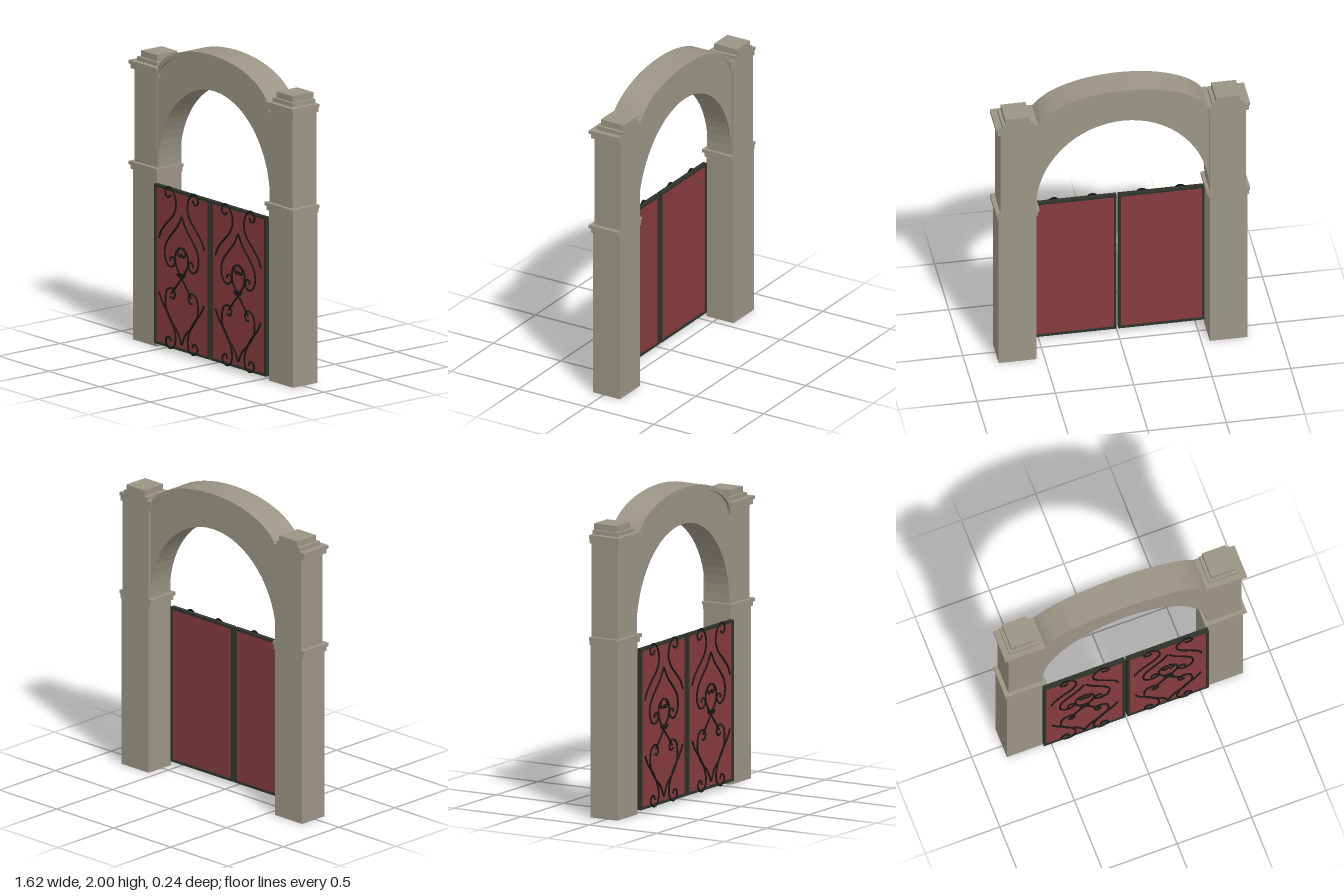
import * as THREE from 'three';

const mat = (name, color) => {
  const m = new THREE.MeshStandardMaterial({ color });
  m.name = name;
  return m;
};

export function createModel() {
  const stone = mat('stone', 0x9a9585);
  const red = mat('red panel', 0x873b3d);
  const frameMat = mat('dark green frame', 0x2e332b);
  const iron = mat('black iron', 0x171814);

  const root = new THREE.Group();
  root.name = 'gateway';

  // Box given by its limits on each axis
  const box = (parent, name, material, x0, x1, y0, y1, z0, z1) => {
    const mesh = new THREE.Mesh(new THREE.BoxGeometry(Math.abs(x1 - x0), y1 - y0, z1 - z0), material);
    mesh.position.set((x0 + x1) / 2, (y0 + y1) / 2, (z0 + z1) / 2);
    mesh.name = name;
    parent.add(mesh);
  };

  // Pillars: stacked blocks, all flush at the back [name, inner x, outer x, y0, y1, front z]
  const back = -0.12;
  const blocks = [
    ['lowerShaft', 0.553, 0.793, 0, 1.105, 0.08],
    ['bandLower', 0.543, 0.802, 1.105, 1.135, 0.09],
    ['bandUpper', 0.533, 0.81, 1.135, 1.157, 0.1],
    ['upperShaft', 0.553, 0.782, 1.157, 1.757, 0.075],
    ['capLower', 0.543, 0.802, 1.757, 1.788, 0.09],
    ['capUpper', 0.533, 0.81, 1.788, 1.81, 0.1],
    ['capStep', 0.57, 0.77, 1.81, 1.835, 0.065],
    ['capTop', 0.592, 0.75, 1.835, 1.875, 0.048],
  ];
  for (const s of [-1, 1]) {
    const pillar = new THREE.Group();
    pillar.name = s > 0 ? 'leftPillar' : 'rightPillar';
    for (const [name, xi, xo, y0, y1, zf] of blocks) box(pillar, name, stone, s * xi, s * xo, y0, y1, back, zf);
    root.add(pillar);
  }

  // Half-ellipse points from +x to -x
  const ellipse = (a, b, cy, n) => Array.from({ length: n + 1 }, (_, i) => {
    const t = (Math.PI * i) / n;
    return new THREE.Vector2(a * Math.cos(t), cy + b * Math.sin(t));
  });
  const archBand = (name, outer, inner, z0, z1) => {
    const shape = new THREE.Shape([...outer, ...inner.reverse()]);
    const geo = new THREE.ExtrudeGeometry(shape, { depth: z1 - z0, bevelEnabled: false });
    geo.translate(0, 0, z0);
    const mesh = new THREE.Mesh(geo, stone);
    mesh.name = name;
    root.add(mesh);
  };
  // Arch wall with elliptical opening, and the moulding over it
  const wallTop = ellipse(0.555, 0.235, 1.74, 32);
  archBand('archWall', wallTop, ellipse(0.553, 0.6, 1.163, 32), -0.105, 0.07);
  archBand('archMoulding', ellipse(0.562, 0.26, 1.74, 32), ellipse(0.535, 0.23, 1.74, 32), -0.113, 0.09);

  // Ironwork curves for one half of a leaf: [distance from leaf centre, height]
  const scrolls = {
    upperScroll: [[0.225, 0.72], [0.2, 0.772], [0.146, 0.831], [0.082, 0.895], [0.056, 0.958], [0.071, 1.026],
      [0.119, 1.068], [0.16, 1.045], [0.157, 1.01], [0.13, 1.0], [0.108, 1.024]],
    upperHeart: [[0, 0.9], [0.04, 0.831], [0.108, 0.757], [0.156, 0.693], [0.167, 0.624], [0.14, 0.566],
      [0.098, 0.556], [0.066, 0.587], [0.082, 0.619], [0.108, 0.614], [0.113, 0.592]],
    medallion: [[0.02, 0.525], [0.052, 0.57], [0.063, 0.614], [0.05, 0.67], [0, 0.698]],
    medallionCurl: [[0, 0.698], [0.032, 0.685], [0.038, 0.655], [0.022, 0.637], [0.005, 0.648], [0.014, 0.658]],
    lowerHeart: [[0, 0.069], [0.04, 0.143], [0.103, 0.201], [0.151, 0.27], [0.161, 0.333], [0.146, 0.397],
      [0.098, 0.418], [0.066, 0.386], [0.084, 0.351], [0.113, 0.362]],
    lowerScroll: [[0.225, 0.37], [0.188, 0.307], [0.124, 0.238], [0.074, 0.155], [0.06, 0.095], [0.077, 0.042],
      [0.119, 0.026], [0.156, 0.058], [0.146, 0.09], [0.119, 0.095], [0.106, 0.069]],
    crossBar: [[-0.03, 0.53], [0.03, 0.465], [0.098, 0.385]],
  };

  // Gate leaves
  for (const s of [-1, 1]) {
    const leaf = new THREE.Group();
    leaf.name = s > 0 ? 'leftGate' : 'rightGate';
    const x0 = s * 0.006, x1 = s * 0.554, w = s * 0.016, y0 = 0.028, y1 = 1.06, z0 = 0.075, z1 = 0.105;
    box(leaf, 'panel', red, x0 + w / 2, x1 - w / 2, y0 + 0.008, y1 - 0.008, 0.082, 0.096);
    box(leaf, 'innerStile', frameMat, x0, x0 + w, y0, y1, z0, z1);
    box(leaf, 'outerStile', frameMat, x1 - w, x1, y0, y1, z0, z1);
    box(leaf, 'bottomRail', frameMat, x0 + w, x1 - w, y0, y0 + 0.016, z0, z1);
    box(leaf, 'topRail', frameMat, x0 + w, x1 - w, y1 - 0.016, y1, z0, z1);

    const cx = s * 0.28;
    for (const [name, pts] of Object.entries(scrolls)) {
      for (const m of [-1, 1]) {
        const curve = new THREE.CatmullRomCurve3(pts.map(([u, y]) => new THREE.Vector3(cx + m * u, y, 0.104)));
        const mesh = new THREE.Mesh(new THREE.TubeGeometry(curve, pts.length * 6, 0.0062, 6), iron);
        mesh.name = name;
        leaf.add(mesh);
      }
    }
    // Collar where the bars meet
    box(leaf, 'collar', iron, cx - 0.032, cx + 0.032, 0.515, 0.529, 0.096, 0.118);
    box(leaf, 'collarBase', iron, cx - 0.024, cx + 0.024, 0.503, 0.515, 0.096, 0.115);
    root.add(leaf);
  }
  return root;
}
